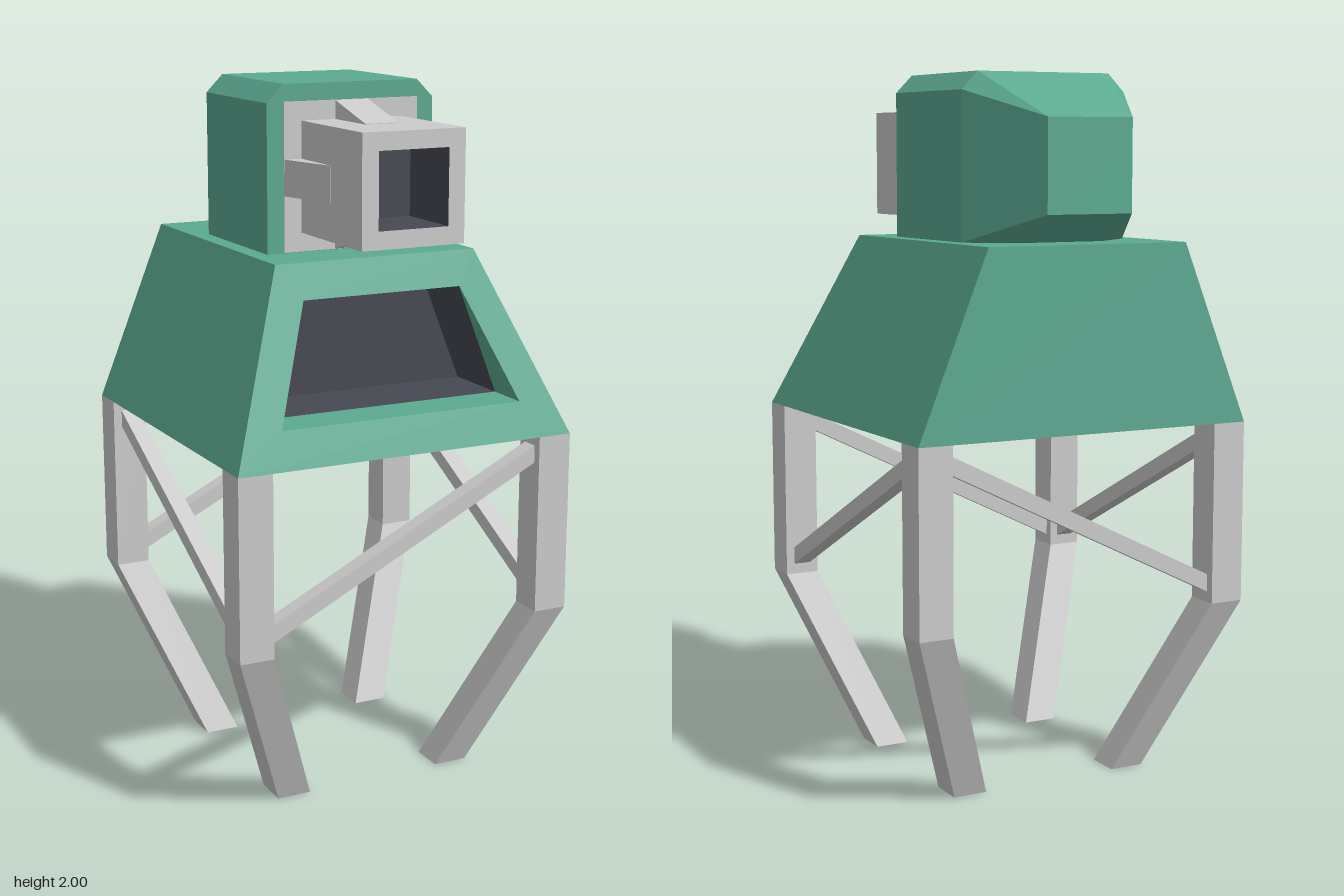
import * as THREE from 'three';
import { ConvexGeometry } from 'three/addons/geometries/ConvexGeometry.js';

const paint = (color) => new THREE.MeshStandardMaterial({ color, flatShading: true });
const green = paint(0x5caa91);
const dark = paint(0x474952);
const grey = paint(0xcccccc);

// Joins four-cornered loops with quads; loops run anticlockwise seen from the end side.
function loft(loops, capStart = false, capEnd = false) {
  const pos = [];
  const quad = (a, b, c, d) => pos.push(...a, ...b, ...c, ...a, ...c, ...d);
  for (let i = 0; i + 1 < loops.length; i++) {
    for (let j = 0; j < 4; j++) {
      const k = (j + 1) % 4;
      quad(loops[i][j], loops[i][k], loops[i + 1][k], loops[i + 1][j]);
    }
  }
  if (capStart) quad(...[...loops[0]].reverse());
  if (capEnd) quad(...loops[loops.length - 1]);
  const g = new THREE.BufferGeometry();
  g.setAttribute('position', new THREE.Float32BufferAttribute(pos, 3));
  g.computeVertexNormals();
  return g;
}

// Trapezoid facing the front: bottom half-width, y, z, then top half-width, y, z.
const trapezoid = (w0, y0, z0, w1, y1, z1) =>
  [[-w0, y0, z0], [w0, y0, z0], [w1, y1, z1], [-w1, y1, z1]];

// Upright square round the gun axis.
const AXIS = 1.7475;
const upright = (r, z) => trapezoid(r, AXIS - r, z, r, AXIS + r, z);

// Level square, used for the leg sections.
const level = (cx, y, cz, r) =>
  [[cx - r, y, cz + r], [cx + r, y, cz + r], [cx + r, y, cz - r], [cx - r, y, cz - r]];

export function createModel() {
  const model = new THREE.Group();
  const add = (name, geometry, material, parent = model) => {
    const mesh = new THREE.Mesh(geometry, material);
    mesh.name = name;
    parent.add(mesh);
    return mesh;
  };

  // Tapered body with a window recess in its sloping front
  const recess = trapezoid(0.365, 1.13, 0.34, 0.24, 1.445, 0.34);
  add('body', loft([
    trapezoid(0.51, 1.03, -0.51, 0.305, 1.54, -0.51),
    trapezoid(0.51, 1.03, 0.51, 0.305, 1.54, 0.305),
    trapezoid(0.365, 1.13, 0.47, 0.24, 1.445, 0.343),
    recess,
  ], true), green);
  add('windowInterior', loft([
    recess,
    trapezoid(0.365, 1.13, 0.13, 0.24, 1.445, 0.13),
  ], false, true), dark);

  // Head: chamfered top, narrowing towards the back
  const corners = [];
  for (const s of [-1, 1]) {
    for (const z of [0.15, -0.26]) {
      for (const [x, y] of [[0.255, 1.54], [0.255, 1.95], [0.205, 2]]) {
        corners.push(new THREE.Vector3(s * x, y, z));
      }
    }
    corners.push(
      new THREE.Vector3(s * 0.13, 1.875, -0.51),
      new THREE.Vector3(s * 0.13, 1.62, -0.51),
      new THREE.Vector3(s * 0.13, 1.54, -0.36),
    );
  }
  add('head', new ConvexGeometry(corners), green);

  // Mounting plate and hollow square barrel
  add('barrelPlate', new THREE.BoxGeometry(0.41, 0.41, 0.02), grey).position.set(0, AXIS, 0.143);
  add('barrel', loft([upright(0.153, 0.15), upright(0.153, 0.51), upright(0.104, 0.51)]), grey);
  add('barrelBore', loft([upright(0.104, 0.51), upright(0.104, 0.3)], false, true), dark);

  // Four wedge fins round the barrel root
  const wedge = new THREE.BoxGeometry(0.1, 0.052, 0.18);
  const wp = wedge.attributes.position;
  for (let i = 0; i < wp.count; i++) {
    if (wp.getY(i) > 0 && wp.getZ(i) > 0) wp.setY(i, -0.024);
  }
  wedge.translate(0, 0.179, 0.24);
  wedge.computeVertexNormals();
  const fins = new THREE.Group();
  fins.name = 'barrelFins';
  fins.position.y = AXIS;
  model.add(fins);
  for (let i = 0; i < 4; i++) add('barrelFin', wedge, grey, fins).rotation.z = i * Math.PI / 2;

  // Legs: upright at the top, bending inwards to the feet
  for (const sx of [-1, 1]) {
    for (const sz of [-1, 1]) {
      add(sz > 0 ? 'frontLeg' : 'backLeg', loft([
        level(sx * 0.257, 0, sz * 0.257, 0.05),
        level(sx * 0.46, 0.515, sz * 0.46, 0.05),
        level(sx * 0.46, 1.03, sz * 0.46, 0.05),
      ], true, true), grey);
    }
  }

  // Sheared diagonal braces between the legs
  const bar = new THREE.BoxGeometry(0.82, 0.05, 0.05);
  const bp = bar.attributes.position;
  for (let i = 0; i < bp.count; i++) bp.setY(i, bp.getY(i) + bp.getX(i) * 0.494);
  bar.computeVertexNormals();
  for (const s of [-1, 1]) {
    add(s > 0 ? 'frontBrace' : 'backBrace', bar, grey).position.set(0, 0.773, s * 0.46);
    const side = add(s > 0 ? 'leftBrace' : 'rightBrace', bar, grey);
    side.position.set(s * 0.46, 0.773, 0);
    side.rotation.y = Math.PI / 2;
  }

  return model;
}
